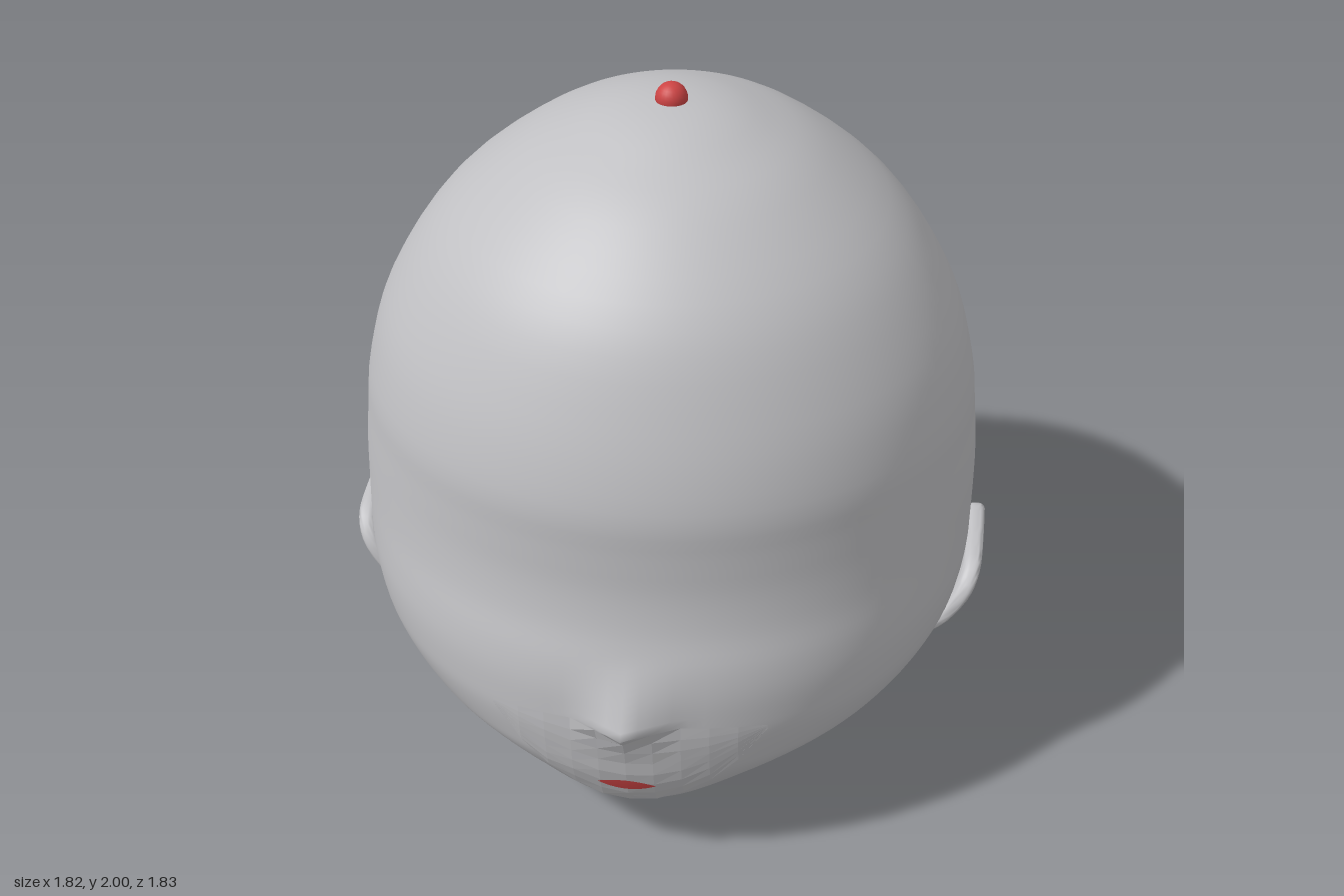
import * as THREE from 'three';
import { toCreasedNormals } from 'three/addons/utils/BufferGeometryUtils.js';

const skin = new THREE.MeshStandardMaterial({ color: 0xc0c0c3 });
skin.name = 'pale grey';
const red = new THREE.MeshStandardMaterial({ color: 0xcc4444 });
red.name = 'soft red';

const ZC = -0.035; // depth of the widest line of every section

// Head sections: [height, half width, front z, back z]
const SECTIONS = [
  [0, 0.093, 0.06, -0.13], [0.05, 0.097, 0.062, -0.135], [0.075, 0.112, 0.09, -0.15],
  [0.1, 0.15, 0.19, -0.175], [0.13, 0.21, 0.38, -0.24], [0.16, 0.285, 0.53, -0.32],
  [0.195, 0.385, 0.665, -0.41], [0.225, 0.46, 0.755, -0.465], [0.29, 0.61, 0.79, -0.59],
  [0.36, 0.73, 0.815, -0.685], [0.42, 0.79, 0.825, -0.74], [0.5, 0.835, 0.835, -0.795],
  [0.57, 0.855, 0.835, -0.827], [0.65, 0.865, 0.83, -0.855], [0.73, 0.866, 0.815, -0.875],
  [0.83, 0.866, 0.785, -0.895], [0.94, 0.863, 0.768, -0.907], [1.06, 0.852, 0.765, -0.91],
  [1.2, 0.835, 0.76, -0.9], [1.4, 0.775, 0.7, -0.855], [1.63, 0.63, 0.585, -0.715],
  [1.81, 0.42, 0.39, -0.5], [1.9, 0.25, 0.215, -0.31], [1.941, 0.125, 0.095, -0.165],
  [1.955, 0, ZC, ZC],
];

// Smooth rows between the sections
const curveA = new THREE.CatmullRomCurve3(
  SECTIONS.map(([y, w, f]) => new THREE.Vector3(w, y, f)), false, 'catmullrom');
const curveB = new THREE.CatmullRomCurve3(
  SECTIONS.map((s) => new THREE.Vector3(s[3], 0, 0)), false, 'catmullrom');
const ROW_COUNT = (SECTIONS.length - 1) * 4;
const ROWS = Array.from({ length: ROW_COUNT + 1 }, (_, i) => {
  const a = curveA.getPoint(i / ROW_COUNT);
  return { y: a.y, w: a.x, f: a.z, b: curveB.getPoint(i / ROW_COUNT).x };
});

// Small pointed nose: slopes out to y = 0.57, then cuts back underneath
function nose(x, y) {
  let g = 0;
  if (y >= 0.57) g = Math.pow(Math.max(0, (0.76 - y) / 0.19), 1.5);
  else if (y > 0.53) g = 0.375 + 0.625 * (y - 0.53) / 0.04;
  else g = 0.375 * Math.max(0, (y - 0.45) / 0.08);
  return 0.075 * g * Math.pow(Math.max(0, 1 - Math.abs(x) / 0.15), 1.2);
}

// Depth of the face surface at a given x and y
function faceZ(x, y) {
  const i = Math.max(1, ROWS.findIndex((r) => r.y >= y));
  const p = ROWS[i - 1], q = ROWS[i];
  const t = (y - p.y) / (q.y - p.y);
  const w = p.w + (q.w - p.w) * t;
  const f = p.f + (q.f - p.f) * t;
  return ZC + (f - ZC) * Math.sqrt(Math.max(0, 1 - (x / w) ** 2)) + nose(x, y);
}

// Grid of quads; point(i, j) gives column i, row j
function grid(cols, rows, point, wrap = false) {
  const pos = [], index = [];
  const n = wrap ? cols : cols + 1;
  for (let j = 0; j <= rows; j++) for (let i = 0; i < n; i++) pos.push(...point(i, j));
  for (let j = 0; j < rows; j++) {
    for (let i = 0; i < cols; i++) {
      const a = j * n + i, b = j * n + (i + 1) % n;
      index.push(a, b, b + n, a, b + n, a + n);
    }
  }
  const g = new THREE.BufferGeometry();
  g.setAttribute('position', new THREE.Float32BufferAttribute(pos, 3));
  g.setIndex(index);
  g.computeVertexNormals();
  return g;
}

function headGeometry() {
  const seg = 128;
  return grid(seg, ROW_COUNT, (i, j) => {
    const r = ROWS[j], a = (i / seg) * Math.PI * 2, c = Math.cos(a);
    const x = r.w * Math.sin(a);
    const z = ZC + c * (c > 0 ? r.f - ZC : ZC - r.b) + (c > 0 ? nose(x, r.y) : 0);
    return [x, r.y, z];
  }, true);
}

// Faceted muzzle from under the nose to the chin
function muzzleGeometry() {
  const cols = 10, rows = 7;
  const g = grid(cols, rows, (i, j) => {
    const u = (i / cols) * 2 - 1, x = 0.37 * u;
    const top = 0.57 - 0.03 * u * u, bottom = 0.225 + 0.3 * u * u;
    const y = bottom + (top - bottom) * (j / rows);
    return [x, y, faceZ(x, y) + 0.005];
  }).toNonIndexed();
  g.computeVertexNormals();
  return g;
}

// Lens-shaped lips laid over the muzzle
function lipsGeometry() {
  return grid(12, 4, (i, j) => {
    const u = (i / 12) * 2 - 1, x = 0.08 * u;
    const y = 0.333 + 0.022 * (1 - u * u) * (j / 2 - 1);
    return [x, y, faceZ(x, y) + 0.012];
  });
}

// Leaf-shaped ear, bent to follow the cheek
function earGeometry() {
  const outline = [
    [-0.175, 0.465], [-0.155, 0.56], [-0.09, 0.625], [0.02, 0.643], [0.15, 0.645],
    [0.178, 0.628], [0.16, 0.575], [0.115, 0.5], [0.06, 0.42], [-0.03, 0.378],
    [-0.125, 0.382], [-0.165, 0.415],
  ].map(([u, v]) => new THREE.Vector2(u, v));
  const points = new THREE.SplineCurve([...outline, outline[0]]).getPoints(48).slice(0, -1);
  const g = new THREE.ExtrudeGeometry(new THREE.Shape(points), {
    depth: 0.012, bevelThickness: 0.02, bevelSize: 0.018, bevelOffset: -0.018, bevelSegments: 5,
  });
  g.rotateY(Math.PI / 2);
  const p = g.attributes.position;
  for (let i = 0; i < p.count; i++) {
    const t = Math.max(0, (0.645 - p.getY(i)) / 0.265);
    p.setX(i, p.getX(i) + 0.881 - 0.165 * Math.pow(t, 1.8));
  }
  return toCreasedNormals(g, 1.2);
}

export function createModel() {
  const model = new THREE.Group();
  model.name = 'head';
  const add = (name, geometry, material) => {
    const mesh = new THREE.Mesh(geometry, material);
    mesh.name = name;
    model.add(mesh);
    return mesh;
  };

  add('skull', headGeometry(), skin);
  add('muzzle', muzzleGeometry(), skin);
  add('lips', lipsGeometry(), red);

  const ear = earGeometry();
  add('leftEar', ear, skin);
  add('rightEar', ear, skin).scale.x = -1;

  // Closed underside of the neck
  const base = add('neckBase', new THREE.CircleGeometry(0.093, 48), skin);
  base.rotation.x = Math.PI / 2;
  base.position.set(0, 0, ZC);

  // Bead on the crown
  add('crownBead', new THREE.SphereGeometry(0.043, 24, 16), red).position.set(0, 1.957, -0.04);

  return model;
}
